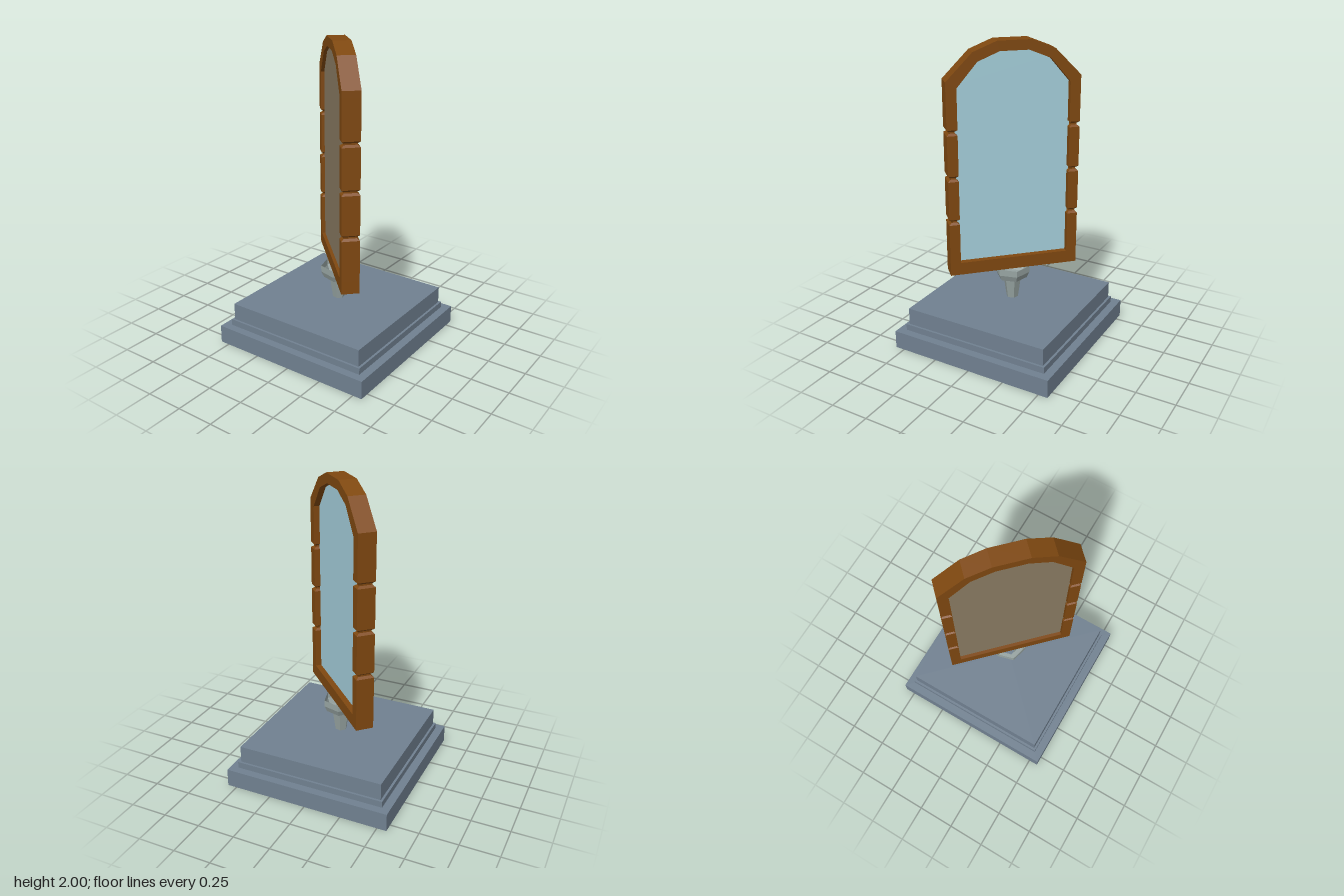
import * as THREE from 'three';

const flat = (name, color) =>
  new THREE.MeshStandardMaterial({ name, color, flatShading: true, side: THREE.DoubleSide });

const stone = flat('slate stone', 0x708090);
const wood = flat('brown wood', 0x7f4810);
const metal = flat('grey metal', 0x96a3a1);
const glass = flat('mirror glass', 0xa5cfdb);
const backing = flat('backing board', 0x8a7b62);

// Frame measurements, in the plane of the mirror
const OUT = 0.424, IN = 0.357, HALF_DEPTH = 0.057;
const SILL_BOTTOM = 0.505, SILL_TOP = 0.588, SPRING = 1.73;
const OUTER_ARCH = [[0.424, 1.73], [0.424, 1.77], [0.257, 1.94], [0.107, 2.0]];
const INNER_ARCH = [[0.357, 1.73], [0.228, 1.882], [0.091, 1.938]];

// Right half of an arch, then its mirror image, running right to left
const bothSides = (half) => [...half, ...half.map(([x, y]) => [-x, y]).reverse()];
const toShape = (pts) => new THREE.Shape(pts.map(([x, y]) => new THREE.Vector2(x, y)));

function part(group, name, geometry, material) {
  const mesh = new THREE.Mesh(geometry, material);
  mesh.name = name;
  group.add(mesh);
  return mesh;
}

// Solid of revolution with few sides
function turned(points, sides, start = 0) {
  return new THREE.LatheGeometry(points.map(([r, y]) => new THREE.Vector2(r, y)), sides, start);
}

// Side bar with grooves running all the way round it
function barGeometry() {
  const levels = [[SILL_TOP, 0]];
  for (const y of [0.873, 1.162, 1.457]) {
    levels.push([y - 0.018, 0], [y - 0.005, 0.016], [y + 0.005, 0.016], [y + 0.018, 0]);
  }
  levels.push([SPRING, 0]);
  const n = levels.length - 1;
  const width = OUT - IN, depth = 2 * HALF_DEPTH;
  const geo = new THREE.BoxGeometry(width, 1, depth, 1, n, 1);
  const pos = geo.attributes.position;
  for (let i = 0; i < pos.count; i++) {
    const [y, inset] = levels[Math.round((pos.getY(i) + 0.5) * n)];
    pos.setXYZ(i,
      pos.getX(i) * (1 - 2 * inset / width), y,
      pos.getZ(i) * (1 - 2 * inset / depth));
  }
  return geo;
}

export function createModel() {
  const model = new THREE.Group();
  model.name = 'standingMirror';

  // Hollow stepped plinth, open underneath
  const plinth = [[0.563, 0], [0.563, 0.12], [0.51, 0.12], [0.51, 0.162],
    [0.495, 0.162], [0.495, 0.275], [0, 0.275]].map(([r, y]) => [r * Math.SQRT2, y]);
  part(model, 'plinth', turned(plinth, 4, Math.PI / 4), stone);

  // Everything above the plinth is turned to face diagonally
  const mirror = new THREE.Group();
  mirror.name = 'mirror';
  mirror.rotation.y = Math.PI / 4;
  model.add(mirror);

  // Six-sided post with a collar
  part(mirror, 'post', turned([[0.039, 0.272], [0.061, 0.424], [0.1, 0.424],
    [0.118, 0.464], [0.118, 0.507]], 6), metal);

  // Bottom rail
  const sill = part(mirror, 'bottomRail',
    new THREE.BoxGeometry(2 * OUT, SILL_TOP - SILL_BOTTOM, 2 * HALF_DEPTH), wood);
  sill.position.y = (SILL_TOP + SILL_BOTTOM) / 2;

  // Grooved side bars
  const bar = barGeometry();
  for (const [name, side] of [['leftBar', 1], ['rightBar', -1]]) {
    part(mirror, name, bar, wood).position.x = side * (OUT + IN) / 2;
  }

  // Faceted arch over the top
  const arch = toShape([...bothSides(OUTER_ARCH), ...bothSides(INNER_ARCH).reverse()]);
  const archGeo = new THREE.ExtrudeGeometry(arch, { depth: 2 * HALF_DEPTH, bevelEnabled: false });
  part(mirror, 'arch', archGeo.translate(0, 0, -HALF_DEPTH), wood);

  // Glass and backing board, tucked slightly into the frame
  const tuck = 0.01;
  const pane = toShape([[IN + tuck, SILL_TOP - tuck],
    ...bothSides(INNER_ARCH.map(([x, y]) => [x + tuck, y + tuck])),
    [-IN - tuck, SILL_TOP - tuck]]);
  const paneGeo = new THREE.ShapeGeometry(pane);
  part(mirror, 'glass', paneGeo, glass).position.z = 0.018;
  const board = part(mirror, 'backingBoard', paneGeo, backing);
  board.rotation.y = Math.PI;
  board.position.z = -0.035;

  return model;
}
